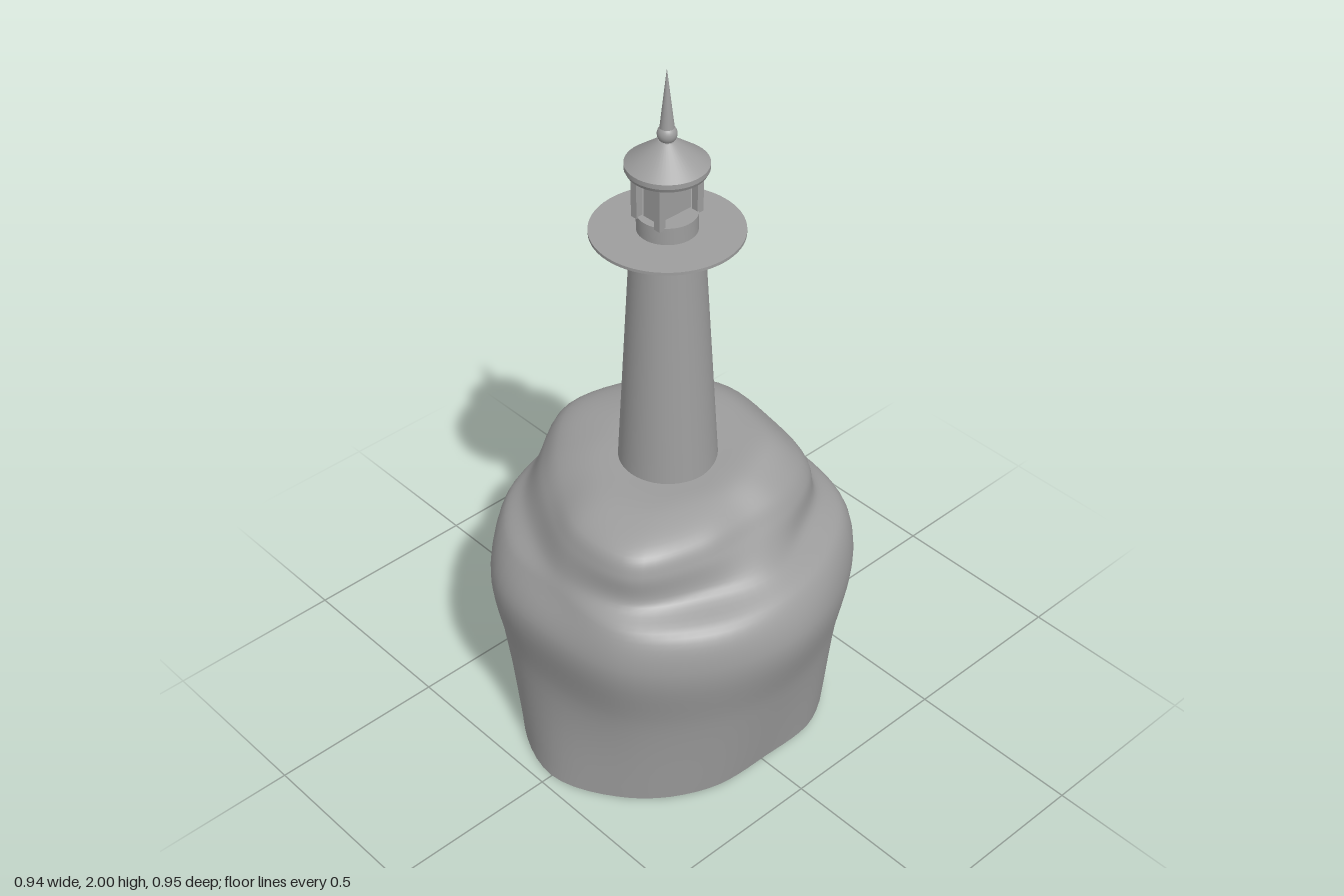
import * as THREE from 'three';
import { toCreasedNormals } from 'three/addons/utils/BufferGeometryUtils.js';

const material = new THREE.MeshStandardMaterial({ color: 0x9d9d9d });
const shellMaterial = new THREE.MeshStandardMaterial({ color: 0x9d9d9d, side: THREE.DoubleSide });

function addMesh(parent, name, geometry, mat = material) {
  const mesh = new THREE.Mesh(geometry, mat);
  mesh.name = name;
  parent.add(mesh);
  return mesh;
}

// Turned part from [radius, height] pairs, smooth around and sharp at the profile corners
function turned(profile, segments = 48) {
  const points = profile.map(([r, y]) => new THREE.Vector2(r, y));
  // Creasing merges points closer than 0.01, so it is done at a larger scale
  const lathe = new THREE.LatheGeometry(points, segments).scale(100, 100, 100);
  return toCreasedNormals(lathe, 0.45).scale(0.01, 0.01, 0.01);
}

// Rock cross-sections: height, then radii every 30 degrees from +x towards +z
const rockRings = [
  [0.02, [0.36, 0.385, 0.42, 0.465, 0.44, 0.40, 0.40, 0.42, 0.44, 0.37, 0.42, 0.40]],
  [0.30, [0.415, 0.43, 0.445, 0.445, 0.47, 0.485, 0.47, 0.455, 0.455, 0.40, 0.45, 0.43]],
  [0.53, [0.47, 0.475, 0.49, 0.47, 0.50, 0.495, 0.46, 0.48, 0.50, 0.475, 0.49, 0.465]],
  [0.64, [0.43, 0.445, 0.46, 0.42, 0.455, 0.475, 0.465, 0.465, 0.48, 0.455, 0.46, 0.43]],
  [0.69, [0.355, 0.345, 0.395, 0.395, 0.39, 0.42, 0.46, 0.45, 0.45, 0.41, 0.385, 0.345]],
  [0.77, [0.29, 0.32, 0.39, 0.37, 0.345, 0.375, 0.45, 0.44, 0.44, 0.375, 0.365, 0.32]],
  [0.82, [0.25, 0.29, 0.365, 0.34, 0.30, 0.33, 0.405, 0.41, 0.40, 0.34, 0.33, 0.285]],
  [0.858, [0.18, 0.19, 0.24, 0.25, 0.22, 0.23, 0.25, 0.28, 0.30, 0.26, 0.25, 0.20]],
  [0.86, [0.09, 0.09, 0.10, 0.10, 0.10, 0.10, 0.10, 0.11, 0.11, 0.11, 0.10, 0.09]],
  [0.855, new Array(12).fill(0.005)],
];

// Smooth surface through the cross-sections, open underneath
function rockGeometry(around = 72, up = 60) {
  const loops = rockRings.map(([y, radii]) => {
    const points = radii.map((r, i) => {
      const a = (i / radii.length) * Math.PI * 2;
      const z = r * Math.sin(a);
      // The summit rises a little at the back and the foot dips at the front
      let shift = 0;
      if (y > 0.84) shift = 0.018 * THREE.MathUtils.clamp(-z / 0.2, 0, 1);
      if (y < 0.1) shift = -0.02 * THREE.MathUtils.clamp(z / 0.4, 0, 1);
      return new THREE.Vector3(r * Math.cos(a), y + shift, z);
    });
    return new THREE.CatmullRomCurve3(points, true, 'catmullrom', 0.5);
  });
  const positions = [];
  const indices = [];
  for (let i = 0; i < around; i++) {
    const column = new THREE.CatmullRomCurve3(loops.map((loop) => loop.getPoint(i / around)));
    for (let j = 0; j <= up; j++) positions.push(...column.getPoint(j / up).toArray());
  }
  const row = up + 1;
  for (let i = 0; i < around; i++) {
    const next = (i + 1) % around;
    for (let j = 0; j < up; j++) {
      const a = i * row + j;
      const b = next * row + j;
      indices.push(a, a + 1, b, b, a + 1, b + 1);
    }
  }
  const geometry = new THREE.BufferGeometry();
  geometry.setAttribute('position', new THREE.Float32BufferAttribute(positions, 3));
  geometry.setIndex(indices);
  geometry.computeVertexNormals();
  return geometry;
}

export function createModel() {
  const model = new THREE.Group();
  model.name = 'lighthouseOnRock';
  addMesh(model, 'rock', rockGeometry(), shellMaterial);

  const lighthouse = new THREE.Group();
  lighthouse.name = 'lighthouse';
  lighthouse.position.set(-0.034, 0, -0.003);
  model.add(lighthouse);

  // Tapering tower with a collar under the gallery
  addMesh(lighthouse, 'tower', turned([[0, 0.8], [0.135, 0.8], [0.095, 1.5], [0, 1.5]]));
  addMesh(lighthouse, 'collar', turned([[0, 1.5], [0.102, 1.5], [0.102, 1.556], [0, 1.556]]));
  addMesh(lighthouse, 'gallery', turned([[0, 1.555], [0.195, 1.555], [0.195, 1.563], [0, 1.563]], 64));

  // Lantern room: round plinth, narrow core and four corner posts
  addMesh(lighthouse, 'lanternBase', turned([[0, 1.56], [0.077, 1.56], [0.077, 1.61], [0, 1.61]]));
  const core = addMesh(lighthouse, 'lanternCore', new THREE.BoxGeometry(0.05, 0.13, 0.11));
  core.position.y = 1.67;
  for (const sx of [-1, 1]) {
    for (const sz of [-1, 1]) {
      const post = addMesh(lighthouse, 'lanternPost', new THREE.BoxGeometry(0.02, 0.13, 0.02));
      post.position.set(sx * 0.041, 1.67, sz * 0.063);
    }
  }

  // Conical roof with a rim, ball and spire
  addMesh(lighthouse, 'roof', turned([
    [0, 1.727], [0.1, 1.727], [0.105, 1.737], [0.105, 1.75], [0.022, 1.812], [0, 1.815],
  ]));
  const ball = addMesh(lighthouse, 'finialBall', new THREE.SphereGeometry(0.025, 24, 16));
  ball.position.y = 1.829;
  addMesh(lighthouse, 'spire', turned([[0, 1.84], [0.019, 1.84], [0.0005, 2]], 24));

  return model;
}
